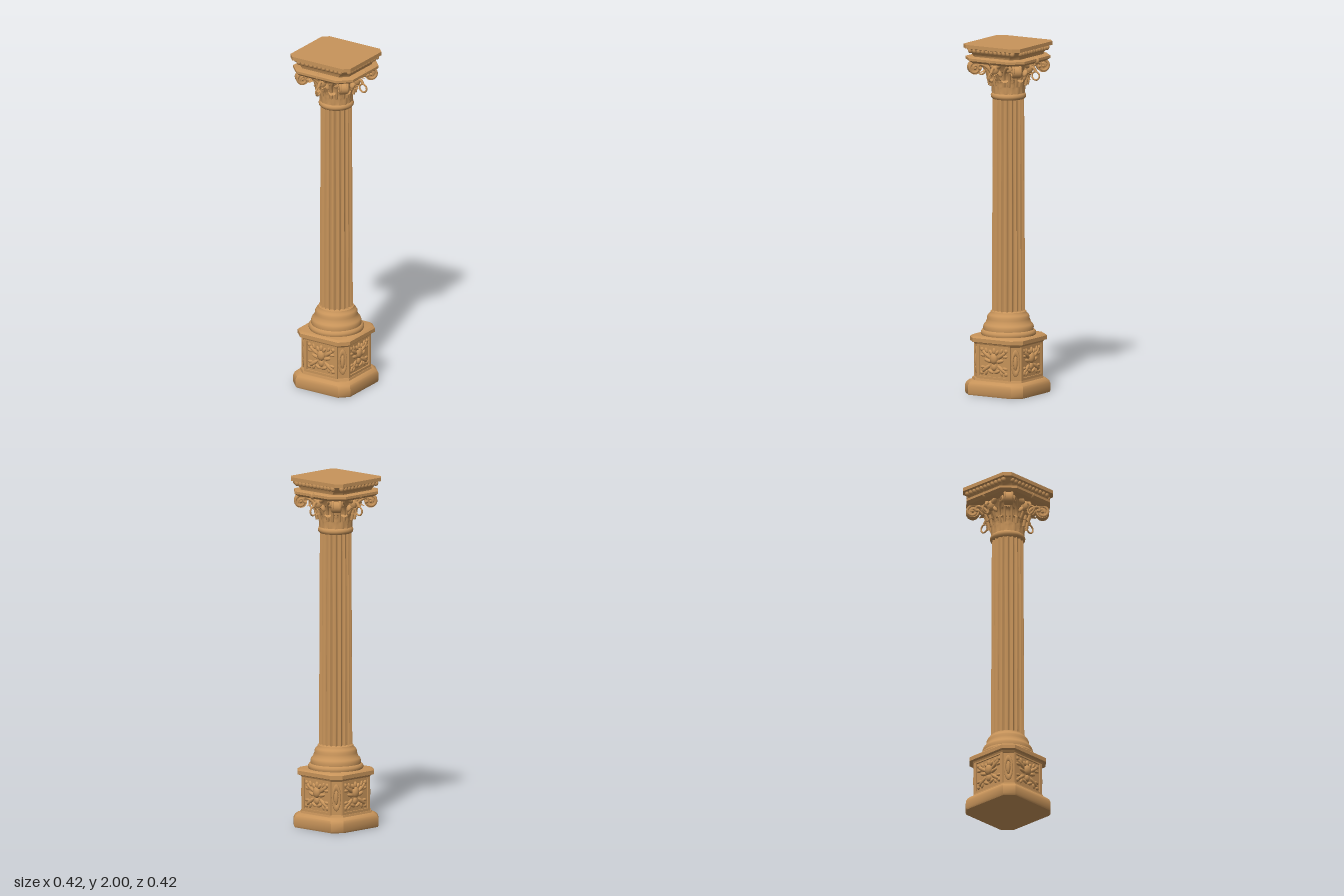
import * as THREE from 'three';
import { toCreasedNormals } from 'three/addons/utils/BufferGeometryUtils.js';

const stone = new THREE.MeshStandardMaterial({ color: 0xc8945a });
stone.name = 'carvedStone';
const thinStone = new THREE.MeshStandardMaterial({ color: 0xc8945a, side: THREE.DoubleSide });
thinStone.name = 'carvedStoneThin';

function add(parent, name, geometry, x = 0, y = 0, z = 0, material = stone) {
  const mesh = new THREE.Mesh(geometry, material);
  mesh.name = name;
  mesh.position.set(x, y, z);
  parent.add(mesh);
  return mesh;
}

function group(parent, name, angle = 0) {
  const g = new THREE.Group();
  g.name = name;
  g.rotation.y = angle;
  parent.add(g);
  return g;
}

// Square moulding with cut corners, from levels [y, half width, half depth, cut]
function cutSquare(levels) {
  const pos = [], index = [], n = 8;
  for (const [y, w, d, c] of levels) {
    const ring = [[c - w, d], [w - c, d], [w, d - c], [w, c - d], [w - c, -d], [c - w, -d], [-w, c - d], [-w, d - c]];
    for (const [x, z] of ring) pos.push(x, y, z);
  }
  const last = (levels.length - 1) * n, bottom = levels.length * n;
  pos.push(0, levels[0][0], 0, 0, levels[levels.length - 1][0], 0);
  for (let i = 0; i < n; i++) {
    const k = (i + 1) % n;
    for (let j = 0; j < last; j += n) index.push(j + i, j + k, j + n + k, j + i, j + n + k, j + n + i);
    index.push(bottom, k, i, bottom + 1, last + i, last + k);
  }
  const g = new THREE.BufferGeometry();
  g.setAttribute('position', new THREE.Float32BufferAttribute(pos, 3));
  g.setIndex(index);
  return toCreasedNormals(g, 0.6);
}

function lathe(points) {
  const g = new THREE.LatheGeometry(points.map(([r, y]) => new THREE.Vector2(r, y)), 56);
  return toCreasedNormals(g, 0.7);
}

// Flattened rounded lobe, turned in its own plane
const ball = new THREE.SphereGeometry(1, 12, 8);
function lobe(parent, name, x, y, z, rx, ry, rz, turn = 0) {
  const m = add(parent, name, ball, x, y, z);
  m.scale.set(rx, ry, rz);
  m.rotation.z = turn;
  return m;
}

function tube(points, r, segments = 24) {
  const curve = new THREE.CatmullRomCurve3(points.map(p => new THREE.Vector3(...p)));
  return new THREE.TubeGeometry(curve, segments, r, 7);
}

// Shaft with rounded flutes and a slight taper
function flutedShaft(y0, y1, r0, r1, flutes) {
  const g = new THREE.CylinderGeometry(1, 1, y1 - y0, flutes * 8, 6, true);
  const p = g.attributes.position;
  for (let i = 0; i < p.count; i++) {
    const a = Math.atan2(p.getX(i), p.getZ(i));
    const t = p.getY(i) / (y1 - y0) + 0.5;
    const groove = 0.011 * Math.pow(Math.abs(Math.cos(a * flutes / 2)), 0.8);
    const r = r0 + (r1 - r0) * t - groove;
    p.setXYZ(i, Math.sin(a) * r, p.getY(i) + (y0 + y1) / 2, Math.cos(a) * r);
  }
  return toCreasedNormals(g, 0.7);
}

// Acanthus leaf: hugs the bell, then curls out and droops at the tip
function acanthus(h, w, r, flare) {
  const g = new THREE.PlaneGeometry(2, 1, 8, 24);
  const p = g.attributes.position;
  for (let i = 0; i < p.count; i++) {
    const u = p.getX(i), t = p.getY(i) + 0.5;
    const x = u * w * (1 - 0.7 * t ** 4) * (0.78 + 0.3 * Math.abs(Math.sin(t * Math.PI * 4)));
    const rib = 0.008 * Math.max(0, 1 - Math.abs(u) * 3) + 0.004 * Math.abs(u);
    p.setXYZ(i, x, h * Math.sin(t * 2.1), r + flare * t ** 2.6 + rib - x * x * 5);
  }
  g.computeVertexNormals();
  return g;
}

// Carved foliage inside a framed pedestal panel
function addPanel(parent) {
  const frame = new THREE.Shape([[-0.112, -0.1], [0.112, -0.1], [0.112, 0.1], [-0.112, 0.1]].map(p => new THREE.Vector2(...p)));
  frame.holes.push(new THREE.Path([[-0.095, -0.086], [-0.095, 0.086], [0.095, 0.086], [0.095, -0.086]].map(p => new THREE.Vector2(...p))));
  add(parent, 'panelFrame', new THREE.ExtrudeGeometry(frame, { depth: 0.01, bevelEnabled: false }), 0, 0.195, 0.15);
  const f = group(parent, 'panelFoliage');
  f.position.set(0, 0.195, 0.151);
  lobe(f, 'bud', 0, 0.018, 0.003, 0.025, 0.032, 0.018);
  lobe(f, 'budTip', 0, 0.06, 0, 0.012, 0.02, 0.012);
  lobe(f, 'lowerHeart', 0, -0.03, 0, 0.017, 0.022, 0.013);
  for (const s of [-1, 1]) {
    lobe(f, 'crownLeaf', s * 0.02, 0.053, 0, 0.01, 0.018, 0.012, -s * 0.6);
    lobe(f, 'sideLeaf', s * 0.04, 0.005, 0, 0.026, 0.011, 0.011, s * 0.3);
    lobe(f, 'footLeaf', s * 0.022, -0.055, 0, 0.022, 0.01, 0.01, s * 0.5);
    for (const v of [-1, 1]) {
      lobe(f, 'cornerLeaf', s * 0.052, v * 0.04, 0, 0.038, 0.012, 0.012, s * v * 0.65);
      lobe(f, 'cornerLeafOuter', s * 0.074, v * 0.034, 0, 0.018, 0.009, 0.01, s * v * 0.1);
      lobe(f, 'cornerLeafInner', s * 0.05, v * 0.062, 0, 0.018, 0.009, 0.01, s * v * 1.2);
      lobe(f, 'cornerCurl', s * 0.08, v * 0.066, 0, 0.012, 0.012, 0.01);
    }
  }
}

// Scroll standing in the radial plane below an abacus corner
function addVolute(parent) {
  const spiral = [[0, 1.76, 0.105], [0, 1.84, 0.125], [0, 1.89, 0.165]];
  for (let i = 0; i <= 14; i++) {
    const a = Math.PI * 0.6 - i * 0.62, r = 0.036 - i * 0.002;
    spiral.push([0, 1.862 + r * Math.sin(a), 0.197 + r * Math.cos(a)]);
  }
  for (const s of [-1, 1]) add(parent, 'scrollRim', tube(spiral, 0.008, 60), s * 0.02);
  const body = add(parent, 'scrollBody', new THREE.CylinderGeometry(0.036, 0.036, 0.044, 24), 0, 1.862, 0.197);
  body.rotation.z = Math.PI / 2;
  lobe(parent, 'scrollEye', 0, 1.862, 0.197, 0.032, 0.014, 0.014);
}

// Fleuron, bracket and hanging ring at the middle of one capital side
function addFleuron(parent) {
  lobe(parent, 'fleuronHeart', 0, 1.862, 0.135, 0.022, 0.032, 0.026);
  lobe(parent, 'fleuronTop', 0, 1.913, 0.186, 0.011, 0.02, 0.019);
  for (const s of [-1, 1]) {
    lobe(parent, 'fleuronPetal', s * 0.024, 1.885, 0.135, 0.012, 0.026, 0.018, -s * 0.6);
    lobe(parent, 'fleuronLowerPetal', s * 0.022, 1.84, 0.125, 0.01, 0.022, 0.016, s * 0.5);
    add(parent, 'innerScroll', tube([[s * 0.03, 1.76, 0.095], [s * 0.04, 1.83, 0.108], [s * 0.07, 1.875, 0.13], [s * 0.1, 1.885, 0.145], [s * 0.106, 1.865, 0.148], [s * 0.088, 1.86, 0.14]], 0.009));
  }
  add(parent, 'ringBracket', tube([[0, 1.8, 0.105], [0, 1.85, 0.135], [0, 1.87, 0.165], [0, 1.85, 0.182]], 0.009));
  const ring = add(parent, 'hangingRing', new THREE.TorusGeometry(0.024, 0.005, 8, 24), 0, 1.825, 0.182);
  ring.rotation.y = Math.PI / 2;
}

export function createModel() {
  const model = new THREE.Group();
  model.name = 'column';

  // Pedestal
  const pedestal = group(model, 'pedestal');
  add(pedestal, 'plinth', cutSquare([[0, 0.19, 0.19, 0.05], [0.01, 0.194, 0.194, 0.05], [0.05, 0.194, 0.194, 0.05], [0.068, 0.188, 0.188, 0.05], [0.08, 0.175, 0.175, 0.05], [0.083, 0.166, 0.166, 0.05], [0.095, 0.163, 0.163, 0.05]]), 0, 0, 0.004);
  add(pedestal, 'dado', cutSquare([[0.09, 0.152, 0.152, 0.044], [0.305, 0.152, 0.152, 0.044]]));
  add(pedestal, 'pedestalCap', cutSquare([[0.285, 0.158, 0.158, 0.048], [0.298, 0.164, 0.164, 0.048], [0.303, 0.177, 0.177, 0.05], [0.325, 0.177, 0.177, 0.05], [0.335, 0.165, 0.165, 0.05]]));
  for (let i = 0; i < 4; i++) {
    addPanel(group(pedestal, 'pedestalSide', i * Math.PI / 2));
    const corner = group(pedestal, 'pedestalCorner', (i + 0.5) * Math.PI / 2);
    const oval = add(corner, 'cornerOval', new THREE.TorusGeometry(0.02, 0.006, 8, 24), 0, 0.195, 0.186);
    oval.scale.set(1, 3, 1);
    lobe(corner, 'cornerBoss', 0, 0.195, 0.184, 0.011, 0.042, 0.012);
  }

  // Round base and shaft
  add(model, 'roundBase', lathe([[0.15, 0.325], [0.156, 0.34], [0.156, 0.352], [0.148, 0.362], [0.142, 0.364], [0.143, 0.38], [0.138, 0.394], [0.13, 0.4], [0.124, 0.415], [0.12, 0.425], [0.12, 0.437], [0.113, 0.45], [0.104, 0.456], [0.1, 0.468], [0.08, 0.475]]));
  add(model, 'flutedShaft', flutedShaft(0.46, 1.69, 0.094, 0.089, 20));
  add(model, 'neckRing', lathe([[0.075, 1.68], [0.09, 1.682], [0.098, 1.69], [0.1, 1.7], [0.097, 1.71], [0.09, 1.716], [0.078, 1.718]]));

  // Capital
  const capital = group(model, 'capital');
  add(capital, 'bell', lathe([[0.083, 1.71], [0.085, 1.77], [0.092, 1.82], [0.108, 1.865], [0.13, 1.89], [0.138, 1.905]]));
  const lowLeaf = acanthus(0.085, 0.036, 0.088, 0.035);
  const tallLeaf = acanthus(0.135, 0.04, 0.086, 0.07);
  for (let i = 0; i < 8; i++) {
    add(group(capital, 'lowerLeaf', (i + 0.5) * Math.PI / 4), 'acanthusLeaf', lowLeaf, 0, 1.715, 0, thinStone);
    add(group(capital, 'upperLeaf', i * Math.PI / 4), 'tallAcanthusLeaf', tallLeaf, 0, 1.715, 0, thinStone);
  }
  for (let i = 0; i < 4; i++) {
    addVolute(group(capital, 'cornerVolute', (i + 0.5) * Math.PI / 2));
    addFleuron(group(capital, 'sideFleuron', i * Math.PI / 2));
  }

  // Abacus and crowning slab
  add(model, 'abacus', cutSquare([[1.896, 0.185, 0.182, 0.065], [1.904, 0.195, 0.192, 0.068], [1.91, 0.203, 0.198, 0.068], [1.924, 0.203, 0.198, 0.068], [1.93, 0.185, 0.18, 0.06]]), 0, 0, 0.004);
  add(model, 'crownSlab', cutSquare([[1.925, 0.165, 0.155, 0.04], [1.94, 0.168, 0.158, 0.04], [1.955, 0.18, 0.165, 0.035], [1.975, 0.19, 0.175, 0.034], [1.979, 0.204, 0.189, 0.034], [2, 0.204, 0.189, 0.034]]), 0, 0, 0.003);
  for (let i = 0; i < 4; i++) {
    const trim = group(model, 'scallopTrim', i * Math.PI / 2);
    const out = i % 2 ? 0.18 : 0.168;
    for (let k = -5; k <= 5; k++) lobe(trim, 'scallop', k * 0.028, 1.968, out, 0.014, 0.017, 0.014);
  }
  return model;
}
